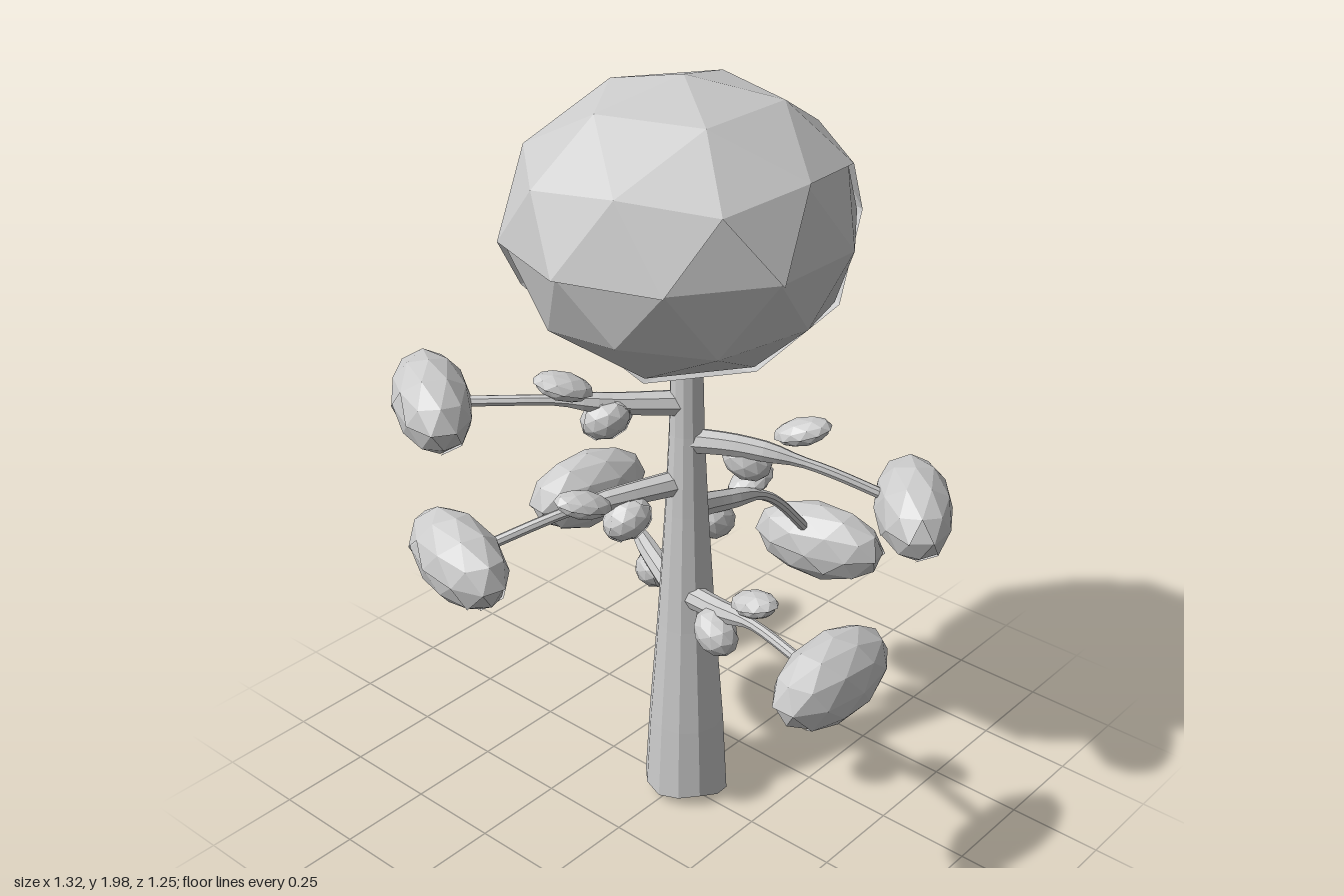
import * as THREE from 'three';
import { mergeGeometries } from 'three/addons/utils/BufferGeometryUtils.js';

const material = new THREE.MeshStandardMaterial({ color: 0xcccccc, flatShading: true, side: THREE.DoubleSide });

// Faceted ball with a recessed core and a raised, cracked shell over the faces picked by a test
function crackedBall(rx, ry, rz, isRaised, inset) {
  const ball = new THREE.IcosahedronGeometry(1, 1);
  ball.rotateZ(Math.atan(2 / (1 + Math.sqrt(5)))); // stand it on a corner
  const p = ball.attributes.position;
  const shell = [];
  const corner = new THREE.Vector3();
  for (let i = 0; i < p.count; i += 3) {
    const centre = new THREE.Vector3();
    for (let k = 0; k < 3; k++) centre.add(corner.fromBufferAttribute(p, i + k));
    centre.divideScalar(3);
    if (!isRaised(centre)) continue;
    for (let k = 0; k < 3; k++) shell.push(...corner.fromBufferAttribute(p, i + k).toArray());
  }
  const raised = new THREE.BufferGeometry();
  raised.setAttribute('position', new THREE.Float32BufferAttribute(shell, 3));
  raised.computeVertexNormals();
  ball.deleteAttribute('uv');
  ball.scale(inset, inset, inset);
  const merged = mergeGeometries([ball, raised]);
  merged.scale(rx, ry, rz);
  return merged;
}

// Round branch: thick near the trunk, thin towards its leaf cluster
function branchGeometry(points) {
  const curve = new THREE.CatmullRomCurve3(points.map((a) => new THREE.Vector3(...a)));
  const rings = 16, sides = 8;
  const tube = new THREE.TubeGeometry(curve, rings, 1, sides);
  const p = tube.attributes.position;
  const v = new THREE.Vector3();
  for (let i = 0; i < p.count; i++) {
    const t = Math.floor(i / (sides + 1)) / rings;
    const c = curve.getPointAt(t);
    const r = t < 0.4 ? 0.034 - t * 0.018 : Math.max(0.014, 0.027 - (t - 0.4) * 0.1);
    v.fromBufferAttribute(p, i).sub(c).multiplyScalar(r).add(c);
    p.setXYZ(i, v.x, v.y, v.z);
  }
  tube.computeVertexNormals();
  return tube;
}

// path: branch points; leaf: cluster centre; dir: its long axis in x, z; half: half length; buds: upper, lower
const branches = [
  { path: [[0, 1.18, 0], [-0.1, 1.195, 0.13], [-0.19, 1.215, 0.24], [-0.38, 1.21, 0.4]],
    leaf: [-0.418, 1.21, 0.435], dir: [0.83, 0.55], half: 0.195, buds: [[-0.155, 1.265, 0.25], [-0.11, 1.16, 0.15]] },
  { path: [[0, 0.96, 0], [-0.06, 0.96, 0.15], [-0.12, 0.95, 0.28], [-0.23, 0.89, 0.48]],
    leaf: [-0.26, 0.87, 0.52], dir: [0.96, 0.28], half: 0.195, buds: [[-0.07, 0.985, 0.28], [-0.04, 0.905, 0.155]] },
  { path: [[0, 1.08, 0], [0.14, 1.08, -0.07], [0.3, 1.05, -0.15], [0.48, 0.97, -0.26]],
    leaf: [0.508, 0.955, -0.28], dir: [0.66, 0.75], half: 0.19, buds: [[0.24, 1.11, -0.18], [0.135, 1.035, -0.095]] },
  { path: [[0, 0.64, 0], [0.15, 0.66, 0.03], [0.3, 0.695, 0.07], [0.54, 0.68, 0.12]],
    leaf: [0.565, 0.685, 0.11], dir: [0, 1], half: 0.195, buds: [[0.275, 0.73, 0.04], [0.17, 0.615, 0.06]] },
  { path: [[0, 0.62, 0], [-0.17, 0.64, -0.08], [-0.32, 0.665, -0.15], [-0.54, 0.64, -0.24]],
    leaf: [-0.563, 0.63, -0.245], dir: [-0.15, 0.99], half: 0.195, buds: [[-0.3, 0.685, -0.12], [-0.19, 0.58, -0.11]] },
  { path: [[0, 0.88, 0], [0, 0.84, -0.15], [0.02, 0.79, -0.32], [0.05, 0.62, -0.48]],
    leaf: [0.055, 0.575, -0.52], dir: [0.98, -0.18], half: 0.195, buds: [[-0.025, 0.82, -0.31], [-0.02, 0.78, -0.15]] },
];

export function createModel() {
  const model = new THREE.Group();
  const add = (parent, name, geometry, position = [0, 0, 0]) => {
    const mesh = new THREE.Mesh(geometry, material);
    mesh.name = name;
    mesh.position.set(...position);
    parent.add(mesh);
    return mesh;
  };

  // Tapered trunk with a slanted, uneven foot
  const profile = [[0, 0.03], [0.112, 0.03], [0.1, 0.25], [0.077, 0.55], [0.056, 0.88], [0.045, 1.1], [0.039, 1.34]];
  const trunk = new THREE.LatheGeometry(profile.map(([r, y]) => new THREE.Vector2(r, y)), 12);
  const p = trunk.attributes.position;
  for (let i = 0; i < p.count; i++) {
    if (p.getY(i) > 0.1) continue;
    const x = p.getX(i), z = p.getZ(i);
    p.setY(i, 0.033 + z * 0.13 + 0.01 * Math.sin(3 * Math.atan2(z, x)) * Math.hypot(x, z) / 0.112);
  }
  trunk.computeVertexNormals();
  add(model, 'trunk', trunk, [0.008, 0, -0.013]);

  // Crown, its upper shell overhanging a zigzag edge around the front and left side
  const crownShell = (c) => {
    const low = c.y < 0 && c.y > -0.75 && c.x > -0.55 && c.z > -0.3;
    const notches = c.x > 0.6 && c.y < 0.25 && c.y > -0.75 && c.z > -0.58;
    const sideGap = c.x > 0.7 && c.z < -0.1 && c.z > -0.4 && c.y > 0 && c.y < 0.4;
    return !(low || notches || sideGap);
  };
  add(model, 'crown', crackedBall(0.43, 0.36, 0.442, crownShell, 0.968), [0.002, 1.64, -0.007]);

  // Branches, each with an end cluster and two small buds
  branches.forEach(({ path, leaf, dir, half, buds }, i) => {
    const limb = new THREE.Group();
    limb.name = 'limb' + (i + 1);
    model.add(limb);
    add(limb, 'branch', branchGeometry(path));

    const shell = (c) => c.y > 0.2 * Math.sin(i * 2 + c.x * 4) || c.z < -0.3;
    const cluster = add(limb, 'leafCluster', crackedBall(half, 0.112, 0.097, shell, 0.965), leaf);
    cluster.rotation.y = Math.atan2(-dir[1], dir[0]);

    const heading = Math.atan2(-leaf[2], leaf[0]);
    const upper = add(limb, 'upperBud', crackedBall(0.076, 0.036, 0.05, (c) => c.y > -0.1, 0.9), buds[0]);
    upper.rotation.set(0, heading, 0.28);
    const lower = add(limb, 'lowerBud', crackedBall(0.068, 0.054, 0.054, (c) => c.z > -0.3, 0.95), buds[1]);
    lower.rotation.set(0, heading, -0.5);
  });
  return model;
}
